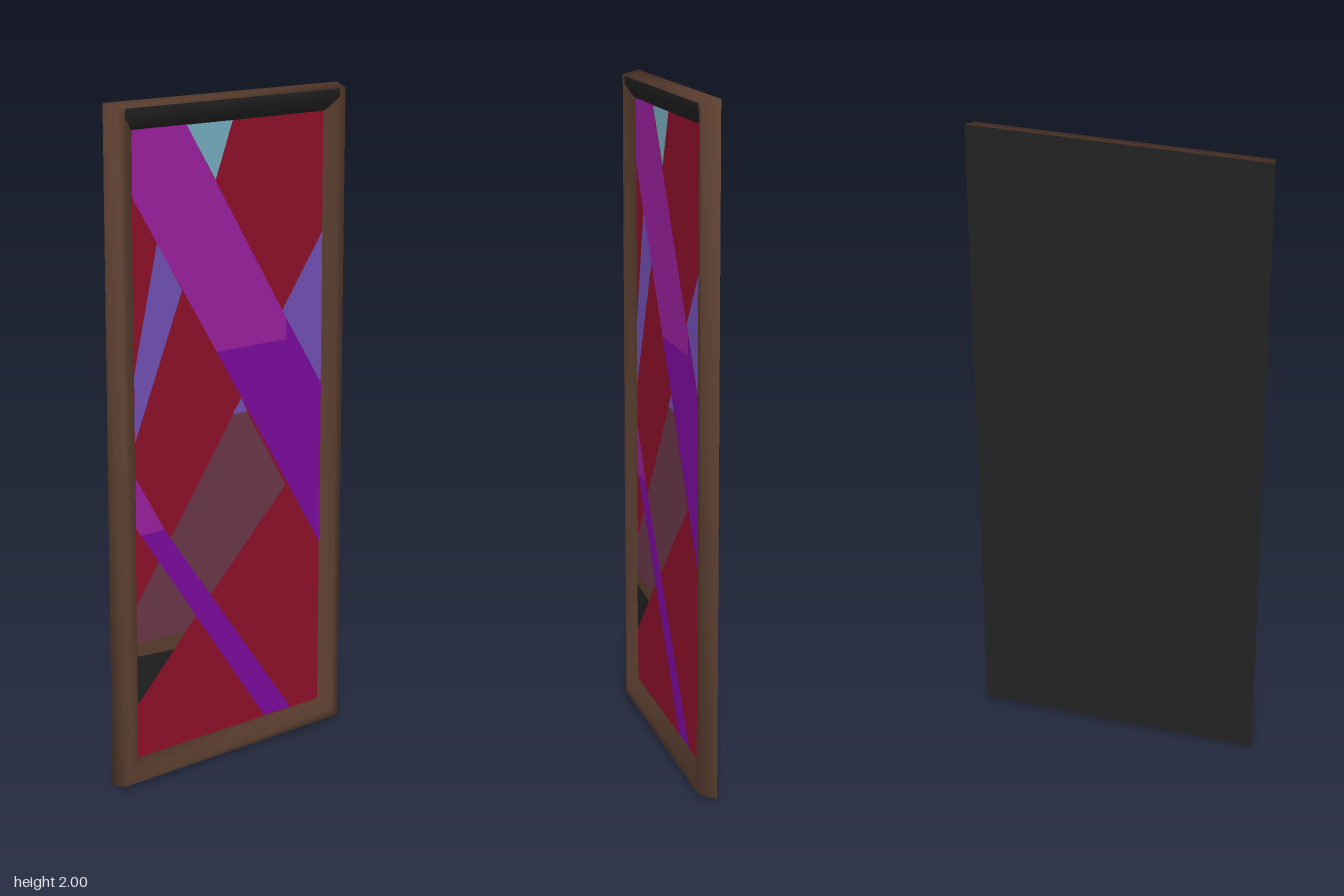
import * as THREE from 'three';

const mat = (name, color) => {
  const m = new THREE.MeshStandardMaterial({ color });
  m.name = name;
  return m;
};

// Builds a smooth skin between rows of points; closed rows wrap around.
function loft(rows, closed) {
  const n = rows[0].length;
  const index = [];
  for (let r = 0; r < rows.length - 1; r++) {
    for (let i = 0; i < (closed ? n : n - 1); i++) {
      const j = (i + 1) % n;
      const a = r * n + i, b = r * n + j, c = b + n, d = a + n;
      index.push(a, b, c, a, c, d);
    }
  }
  const g = new THREE.BufferGeometry();
  g.setAttribute('position', new THREE.Float32BufferAttribute(rows.flat(2), 3));
  g.setIndex(index);
  g.computeVertexNormals();
  return g;
}

export function createModel() {
  const group = new THREE.Group();
  group.name = 'framedPanel';

  const wood = mat('brown wood', 0x5c3f30);
  const black = mat('black', 0x222222);
  const red = mat('crimson', 0x900f2b);
  const mauve = mat('mauve', 0x6c374a);
  const violet = mat('violet', 0x7e0ca0);
  const magenta = mat('magenta', 0x9c21a0);
  const periwinkle = mat('periwinkle', 0x7451b8);
  const sky = mat('pale blue', 0x79b0c2);

  const add = (name, geometry, material) => {
    const mesh = new THREE.Mesh(geometry, material);
    mesh.name = name;
    group.add(mesh);
    return mesh;
  };

  // Frame moulding: rectangles from the back edge to the inner opening
  const rect = (hx, hy, z) => [
    [-hx, 1 - hy, z], [hx, 1 - hy, z], [hx, 1 + hy, z], [-hx, 1 + hy, z],
  ];
  add('frame', loft([
    rect(0.437, 1, -0.026),
    rect(0.425, 0.988, 0.025),
    rect(0.4, 0.963, 0.025),
    rect(0.36, 0.923, 0),
  ], true), wood);

  // Back board
  const back = add('backBoard', new THREE.PlaneGeometry(0.874, 2), black);
  back.rotation.y = Math.PI;
  back.position.set(0, 1, -0.026);

  // Dark strip over the inner bevel of the top rail
  const row = (hx, y, z) => [[-hx, y, z], [hx, y, z]];
  add('topRailStrip', loft([
    row(0.36, 1.922, 0.001),
    row(0.372, 1.932, 0.009),
    row(0.402, 1.963, 0.026),
    row(0.4, 1.986, 0.026),
  ], false), black);

  // Picture: crimson ground with flat coloured panes layered just in front
  const panes = [
    ['ground', red, 0, [[-0.36, 0.077], [0.36, 0.077], [0.36, 1.924], [-0.36, 1.924]]],
    ['skyPane', sky, 1, [[-0.165, 1.924], [-0.057, 1.758], [0.008, 1.924]]],
    ['rightBluePane', periwinkle, 1, [[0.36, 1.565], [0.2, 1.345], [0.36, 1.095]]],
    ['leftBluePane', periwinkle, 1, [[-0.273, 1.602], [-0.36, 1.235], [-0.36, 1.035], [-0.183, 1.455]]],
    ['smallBluePane', periwinkle, 1, [[0.006, 1.06], [0.065, 1.06], [0.04, 1.104]]],
    ['mauvePane', mauve, 1, [[-0.36, 0.55], [-0.36, 0.435], [-0.178, 0.427], [0.218, 0.805], [0.062, 1.06], [0.01, 1.06]]],
    ['brownPane', wood, 1, [[-0.36, 0.435], [-0.36, 0.393], [-0.22, 0.382], [-0.178, 0.427]]],
    ['blackPane', black, 1, [[-0.36, 0.393], [-0.36, 0.244], [-0.22, 0.382]]],
    ['wideBandTop', magenta, 2, [[-0.36, 1.924], [-0.36, 1.735], [-0.055, 1.257], [0.218, 1.257], [0.218, 1.318], [-0.165, 1.924]]],
    ['wideBandBottom', violet, 2, [[-0.055, 1.257], [0.36, 0.595], [0.36, 1.1], [0.218, 1.318], [0.218, 1.257]]],
    ['thinBandTop', magenta, 2, [[-0.36, 0.934], [-0.36, 0.785], [-0.343, 0.759], [-0.255, 0.759]]],
    ['thinBandBottom', violet, 2, [[-0.343, 0.759], [0.135, 0.08], [0.242, 0.08], [-0.255, 0.759]]],
  ];
  for (const [name, material, layer, points] of panes) {
    const shape = new THREE.Shape(points.map(([x, y]) => new THREE.Vector2(x, y)));
    add(name, new THREE.ShapeGeometry(shape), material).position.z = layer * 0.001;
  }

  return group;
}
